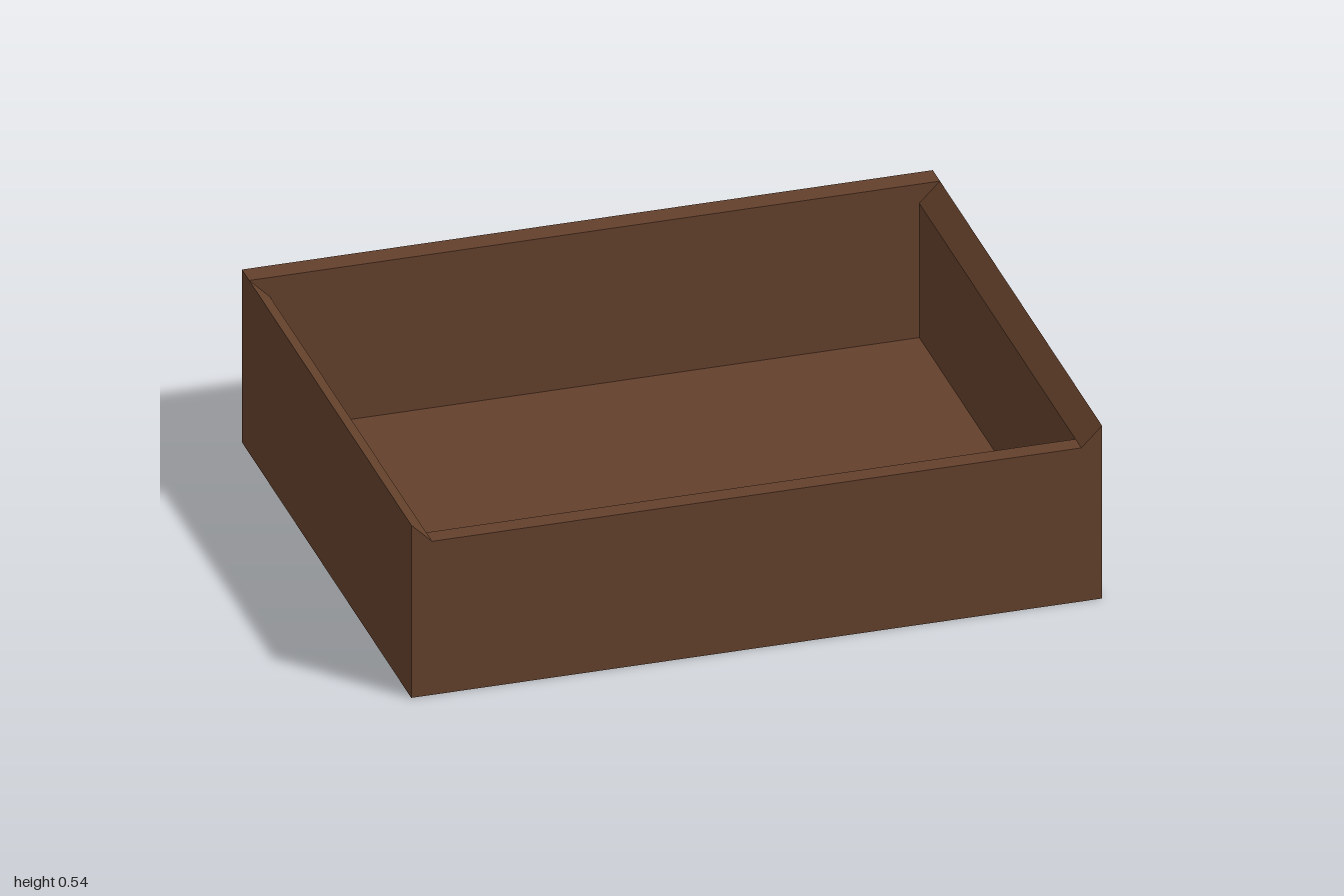
import * as THREE from 'three';

export function createModel() {
  const group = new THREE.Group();
  const wood = new THREE.MeshStandardMaterial({ color: 0x63402b });
  wood.name = 'brown wood';
  const pale = new THREE.MeshStandardMaterial({ color: 0xb9a89c });
  pale.name = 'pale handle';

  const add = (name, geometry, material) => {
    const mesh = new THREE.Mesh(geometry, material);
    mesh.name = name;
    group.add(mesh);
    return mesh;
  };

  // Box given by its limits on each axis
  const box = (name, material, [x0, x1], [y0, y1], [z0, z1]) =>
    add(name, new THREE.BoxGeometry(x1 - x0, y1 - y0, z1 - z0), material)
      .position.set((x0 + x1) / 2, (y0 + y1) / 2, (z0 + z1) / 2);

  const inner = 0.94, height = 0.54, low = 0.48;

  // Floor and the lower end wall
  box('floor', wood, [-inner, inner], [0, 0.06], [-0.68, 0.785]);
  box('endWall', wood, [-inner, inner], [0, low], [0.785, 0.84]);

  // Side walls, their tops sloping down to the inside
  for (const [name, s] of [['leftWall', 1], ['rightWall', -1]]) {
    const profile = new THREE.Shape([
      new THREE.Vector2(s * inner, 0),
      new THREE.Vector2(s, 0),
      new THREE.Vector2(s, height),
      new THREE.Vector2(s * inner, low),
    ]);
    const side = new THREE.ExtrudeGeometry(profile, { depth: 1.52, bevelEnabled: false });
    add(name, side, wood).position.z = -0.68;
  }

  // Face panel with a chamfered outer rim
  const panel = new THREE.BoxGeometry(2, height, 0.1, 1, 1, 2).toNonIndexed();
  const p = panel.attributes.position;
  for (let i = 0; i < p.count; i++) {
    const z = p.getZ(i);
    if (z < -0.01) {
      p.setX(i, Math.sign(p.getX(i)) * 0.95);
      p.setY(i, Math.sign(p.getY(i)) * 0.217);
    } else if (z < 0.01) {
      p.setZ(i, -0.018);
    }
  }
  panel.computeVertexNormals();
  add('facePanel', panel, wood).position.set(0, height / 2, -0.73);

  // Handle bar, slightly off centre
  box('handle', pale, [-0.24, 0.17], [0.245, 0.3], [-0.84, -0.775]);

  return group;
}
